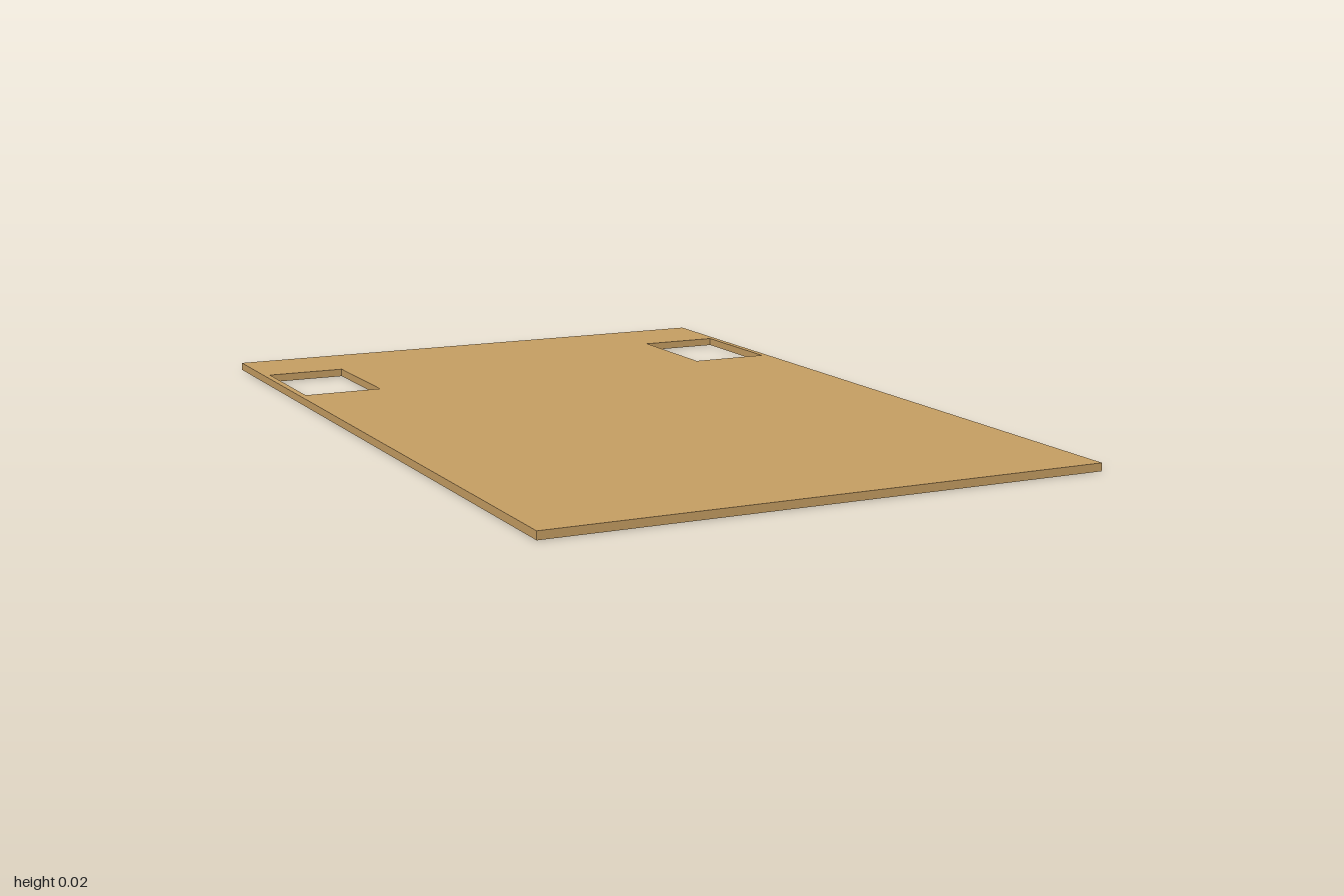
import * as THREE from 'three';
import { mergeGeometries } from 'three/addons/utils/BufferGeometryUtils.js';

const W = 0.673, L = 1, T = 0.019;          // half width, half length, thickness
const N = 0.22, NZ = -0.5, D = 0.01;        // underside recess: half width, front end, depth

// Corners of a rectangle in (x, z), front left round to back left
const rect = (x0, x1, z0, z1) => [[x0, z1], [x1, z1], [x1, z0], [x0, z0]];

// Flat face at height y, facing up (dir 1) or down (dir -1)
function cap(points, holes, y, dir) {
  const to2D = (p) => p.map(([x, z]) => new THREE.Vector2(x, -dir * z));
  const shape = new THREE.Shape(to2D(points));
  shape.holes = holes.map((h) => new THREE.Path(to2D(h)));
  const geo = new THREE.ShapeGeometry(shape).rotateX(-dir * Math.PI / 2).translate(0, y, 0).toNonIndexed();
  geo.deleteAttribute('uv');
  return geo;
}

// Upright walls along an open path in (x, z), facing the right of travel
function walls(path, y0, y1) {
  const pos = [];
  for (let i = 0; i < path.length - 1; i++) {
    const [ax, az] = path[i], [bx, bz] = path[i + 1];
    pos.push(ax, y0, az, bx, y0, bz, bx, y1, bz, ax, y0, az, bx, y1, bz, ax, y1, az);
  }
  const geo = new THREE.BufferGeometry();
  geo.setAttribute('position', new THREE.Float32BufferAttribute(pos, 3));
  geo.computeVertexNormals();
  return geo;
}

export function createModel() {
  const group = new THREE.Group();
  group.name = 'panel';

  const outline = rect(-W, W, -L, L);
  const cutouts = [rect(-0.657, -0.459, -0.794, -0.489), rect(0.454, 0.657, -0.794, -0.489)];
  const recess = [[N, -L], [N, NZ], [-N, NZ], [-N, -L]];
  const underside = [[-W, L], [W, L], [W, -L], ...recess, [-W, -L]];

  const board = mergeGeometries([
    cap(outline, cutouts, T, 1),
    cap(underside, cutouts, 0, -1),
    cap(rect(-N, N, -L, NZ), [], D, -1),
    // outer edge, with the recess open at the back
    walls([[-N, -L], [-W, -L], [-W, L], [W, L], [W, -L], [N, -L]], 0, T),
    walls([[N, -L], [-N, -L]], D, T),
    walls(recess, 0, D),
    // cutout edges, facing inwards
    ...cutouts.map((c) => walls([...c, c[0]].reverse(), 0, T)),
  ]);

  const mesh = new THREE.Mesh(board, new THREE.MeshStandardMaterial({ color: 0xc8a064 }));
  mesh.name = 'board';
  group.add(mesh);
  return group;
}
